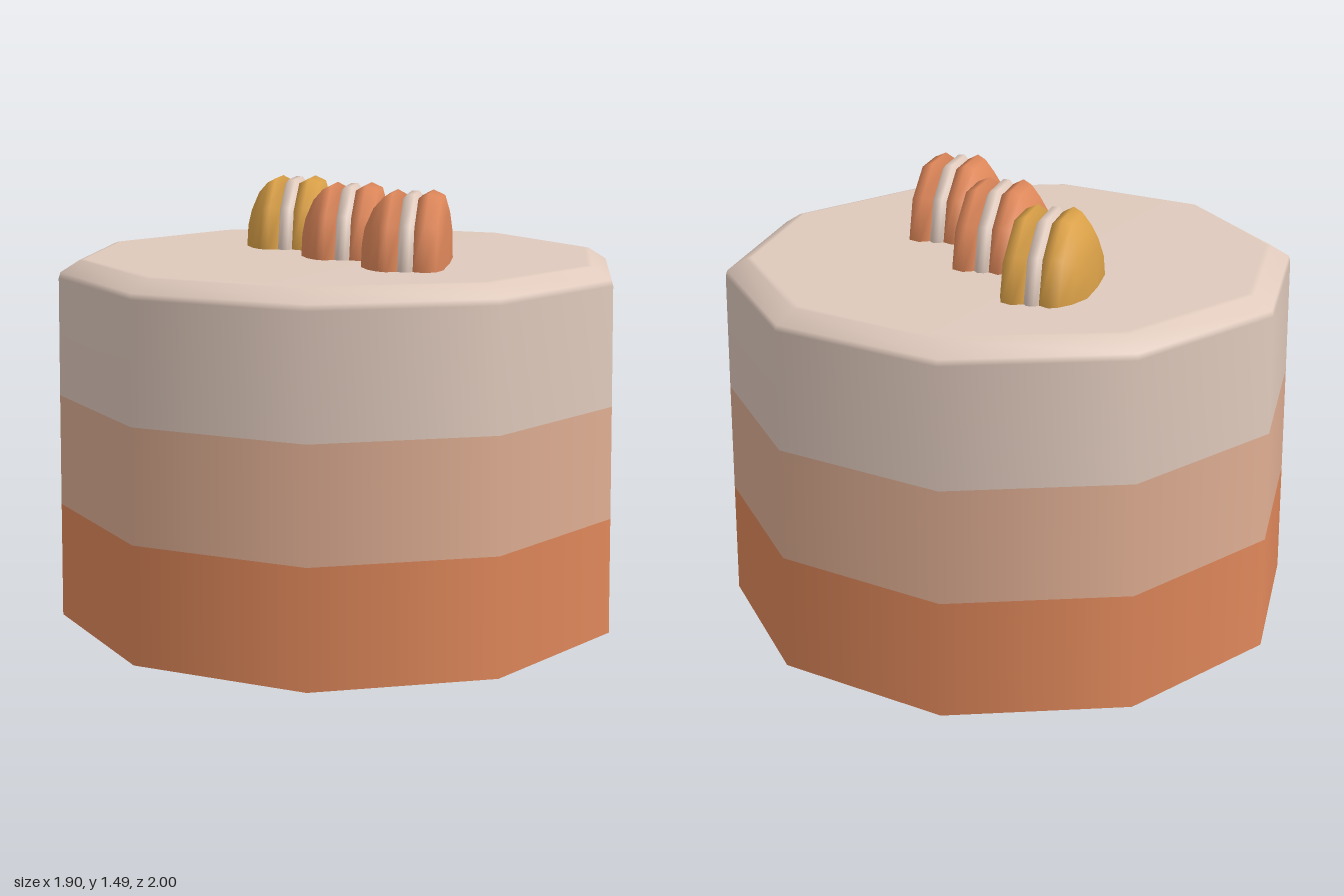
import * as THREE from 'three';

const SIDES = 10;

function material(name, color) {
  const m = new THREE.MeshStandardMaterial({ color });
  m.name = name;
  return m;
}

// Ten-sided smooth ring swept from [radius, height] pairs
function turned(name, profile, mat) {
  const points = profile.map(([r, h]) => new THREE.Vector2(r, h));
  const mesh = new THREE.Mesh(new THREE.LatheGeometry(points, SIDES), mat);
  mesh.name = name;
  return mesh;
}

export function createModel() {
  const coral = material('coral', 0xde875a);
  const peach = material('peach', 0xdead92);
  const blush = material('blush', 0xdfc9bc);
  const gold = material('gold', 0xdba148);

  const model = new THREE.Group();
  model.name = 'layerCake';

  // Cake layers, tapering slightly upward, with a bevelled icing top
  model.add(
    turned('cakeBase', [[0, 0], [1, 0]], gold),
    turned('lowerLayer', [[1, 0], [0.994, 0.4]], coral),
    turned('middleLayer', [[0.994, 0.4], [0.988, 0.785]], peach),
    turned('upperLayer', [[0.988, 0.785], [0.981, 1.19], [0.975, 1.21],
      [0.91, 1.25], [0.89, 1.254], [0, 1.254]], blush)
  );

  // Sandwich biscuit standing on edge: domed shell, filling, flatter shell
  function biscuit(name, x, z, shellMat) {
    const group = new THREE.Group();
    group.name = name;
    const lathe = new THREE.Group();
    lathe.rotation.z = -Math.PI / 2;
    lathe.add(
      turned('domedShell', [[0, -0.163], [0.13, -0.157], [0.2, -0.125], [0.24, -0.09],
        [0.256, -0.06], [0.237, -0.025], [0, -0.025]], shellMat),
      turned('filling', [[0.23, -0.03], [0.252, -0.012], [0.252, 0.012], [0.23, 0.03]], blush),
      turned('flatShell', [[0, 0.025], [0.237, 0.025], [0.256, 0.06], [0.238, 0.1],
        [0.18, 0.118], [0, 0.123]], shellMat)
    );
    group.add(lathe);
    group.position.set(x, 1.25, z);
    group.rotation.y = -0.04;
    model.add(group);
  }

  biscuit('backBiscuit', -0.2, -0.31, gold);
  biscuit('middleBiscuit', 0.035, -0.015, coral);
  biscuit('frontBiscuit', 0.27, 0.28, coral);

  return model;
}
